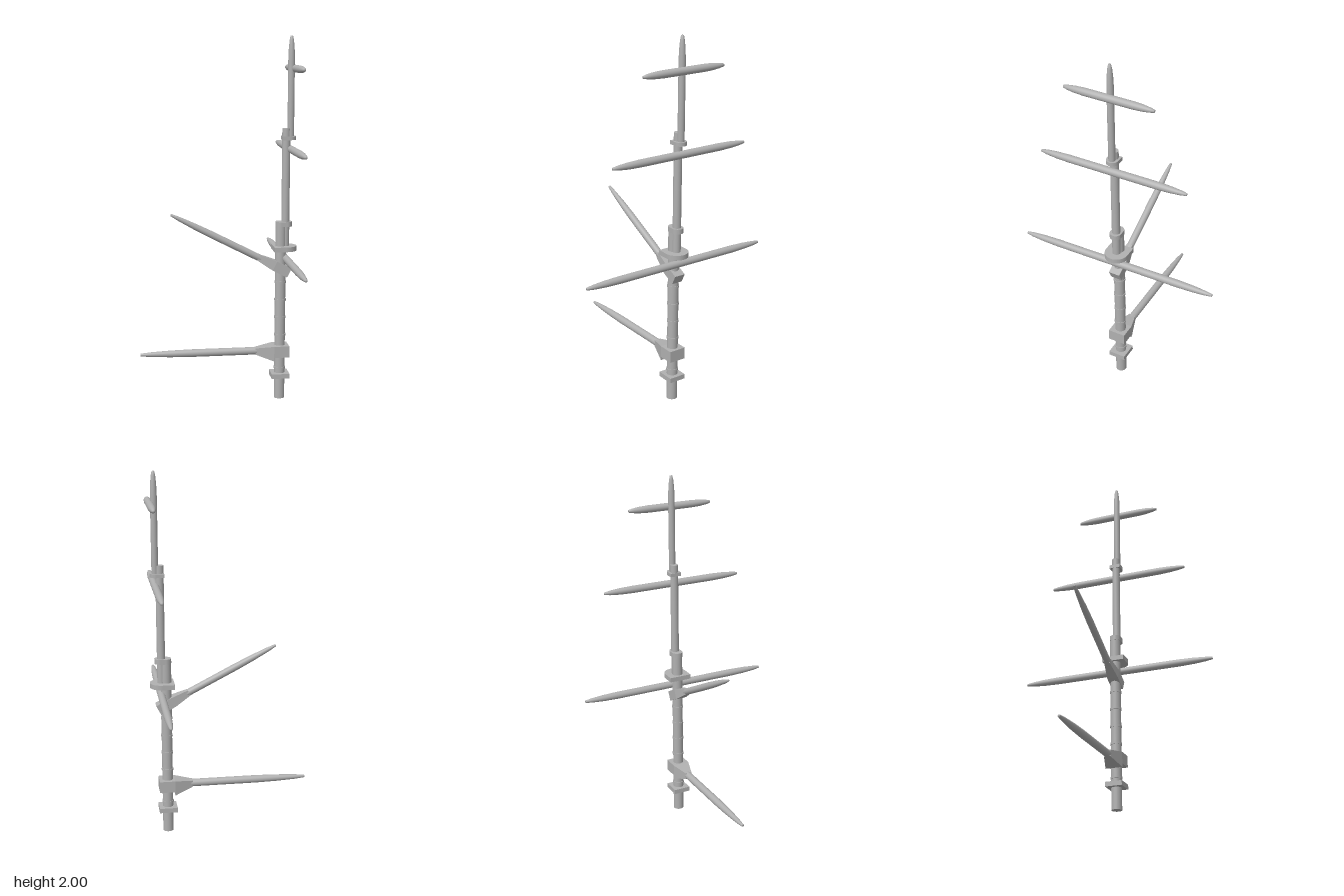
import * as THREE from 'three';

const grey = new THREE.MeshStandardMaterial({ color: 0xb0b0b0 });
grey.name = 'grey';

function add(parent, name, geometry, x = 0, y = 0, z = 0) {
  const mesh = new THREE.Mesh(geometry, grey);
  mesh.name = name;
  mesh.position.set(x, y, z);
  parent.add(mesh);
  return mesh;
}

// Upright pole between two heights
function pole(parent, name, x, y0, y1, r) {
  return add(parent, name, new THREE.CylinderGeometry(r, r, y1 - y0, 24), x, (y0 + y1) / 2);
}

// Round spar along y: points are [radius, height]; ends are closed
function spar(points) {
  const profile = points.map(([r, h]) => new THREE.Vector2(r, h));
  profile.unshift(new THREE.Vector2(0, points[0][1]));
  profile.push(new THREE.Vector2(0, points[points.length - 1][1]));
  return new THREE.LatheGeometry(profile, 20);
}

// Flat plate, square at the back (x0) and rounded at the front (x1)
function roundedPlate(parent, name, x0, x1, w, y0, y1, roundBack = false) {
  const s = new THREE.Shape();
  s.moveTo(x1 - w, w);
  if (roundBack) s.absarc(x0 + w, 0, w, Math.PI / 2, Math.PI * 1.5, false);
  else {
    s.lineTo(x0, w);
    s.lineTo(x0, -w);
  }
  s.lineTo(x1 - w, -w);
  s.absarc(x1 - w, 0, w, -Math.PI / 2, Math.PI / 2, false);
  const g = new THREE.ExtrudeGeometry(s, { depth: y1 - y0, bevelEnabled: false, curveSegments: 16 });
  g.rotateX(-Math.PI / 2);
  return add(parent, name, g, 0, y0);
}

// Block that narrows towards -x, running from x0 to x1
function taperedBlock(x0, x1, h, w, h0, w0, drop = 0) {
  const g = new THREE.BoxGeometry(x1 - x0, h, w);
  g.translate((x0 + x1) / 2, 0, 0);
  const p = g.attributes.position;
  for (let i = 0; i < p.count; i++) {
    if (p.getX(i) < (x0 + x1) / 2) {
      p.setY(i, Math.sign(p.getY(i)) * h0 / 2);
      p.setZ(i, Math.sign(p.getZ(i)) * w0 / 2);
    } else if (p.getY(i) < 0) p.setY(i, p.getY(i) - drop);
  }
  g.computeVertexNormals();
  return g;
}

// Fore-and-aft spar with its jaws; local origin at the mast end, pointing to -x
function jawedSpar(name, length, r, jawH, jawW, blockLen, taperLen, drop) {
  const group = new THREE.Group();
  group.name = name;
  const pts = [[r, 0.1], [r, length * 0.66], [r * 0.88, length * 0.8], [r * 0.62, length * 0.93], [r * 0.35, length]];
  const g = spar(pts);
  g.rotateZ(Math.PI / 2);
  add(group, name + 'Spar', g);
  add(group, name + 'JawBlock', new THREE.BoxGeometry(blockLen, jawH, jawW), -blockLen / 2);
  add(group, name + 'JawTaper',
    taperedBlock(-blockLen - taperLen, -blockLen, jawH, jawW, r * 1.7, r * 1.7, drop));
  return group;
}

export function createModel() {
  const model = new THREE.Group();
  model.name = 'mast';

  // Lower mast with hoops and deck collar
  pole(model, 'lowerMast', 0.341, 0, 1.0, 0.029);
  for (const y of [0.175, 0.365, 0.465, 0.565, 0.665])
    pole(model, 'mastHoop', 0.341, y - 0.006, y + 0.006, 0.032);
  add(model, 'deckCollar', new THREE.BoxGeometry(0.1, 0.026, 0.096), 0.341, 0.134);

  // Topmast and topgallant mast, each stepped ahead of the one below
  pole(model, 'topmast', 0.366, 0.85, 1.51, 0.022);
  add(model, 'topgallantMast',
    spar([[0.018, 1.45], [0.018, 1.87], [0.016, 1.93], [0.012, 1.975], [0.007, 2]]), 0.39);

  // Platforms and caps at the doublings
  roundedPlate(model, 'topPlatform', 0.298, 0.428, 0.063, 0.842, 0.868);
  roundedPlate(model, 'lowerCap', 0.311, 0.402, 0.031, 0.975, 1.002, true);
  roundedPlate(model, 'crosstree', 0.343, 0.418, 0.032, 1.448, 1.468);

  // Yards: x, y, half length, start of taper
  const yards = [
    ['lowerYard', 0.368, 0.797, 0.555, 0.36],
    ['topsailYard', 0.39, 1.397, 0.41, 0.25],
    ['topgallantYard', 0.41, 1.828, 0.245, 0.13],
  ];
  for (const [name, x, y, half, straight] of yards) {
    const end = half - straight;
    const side = [[0.02, straight], [0.0175, straight + end * 0.45], [0.0125, straight + end * 0.8], [0.007, half]];
    const g = spar([...side.map(([r, h]) => [r, -h]).reverse(), ...side]);
    g.rotateX(Math.PI / 2);
    add(model, name, g, x, y);
  }

  // Boom and raised gaff
  const boom = jawedSpar('boom', 0.822, 0.021, 0.064, 0.096, 0.085, 0.1, 0.02);
  boom.position.set(0.388, 0.274, 0);
  model.add(boom);

  const gaff = jawedSpar('gaff', 0.727, 0.019, 0.056, 0.062, 0.09, 0.1, 0);
  gaff.position.set(0.386, 0.718, 0);
  gaff.rotation.z = -0.475;
  model.add(gaff);

  return model;
}
